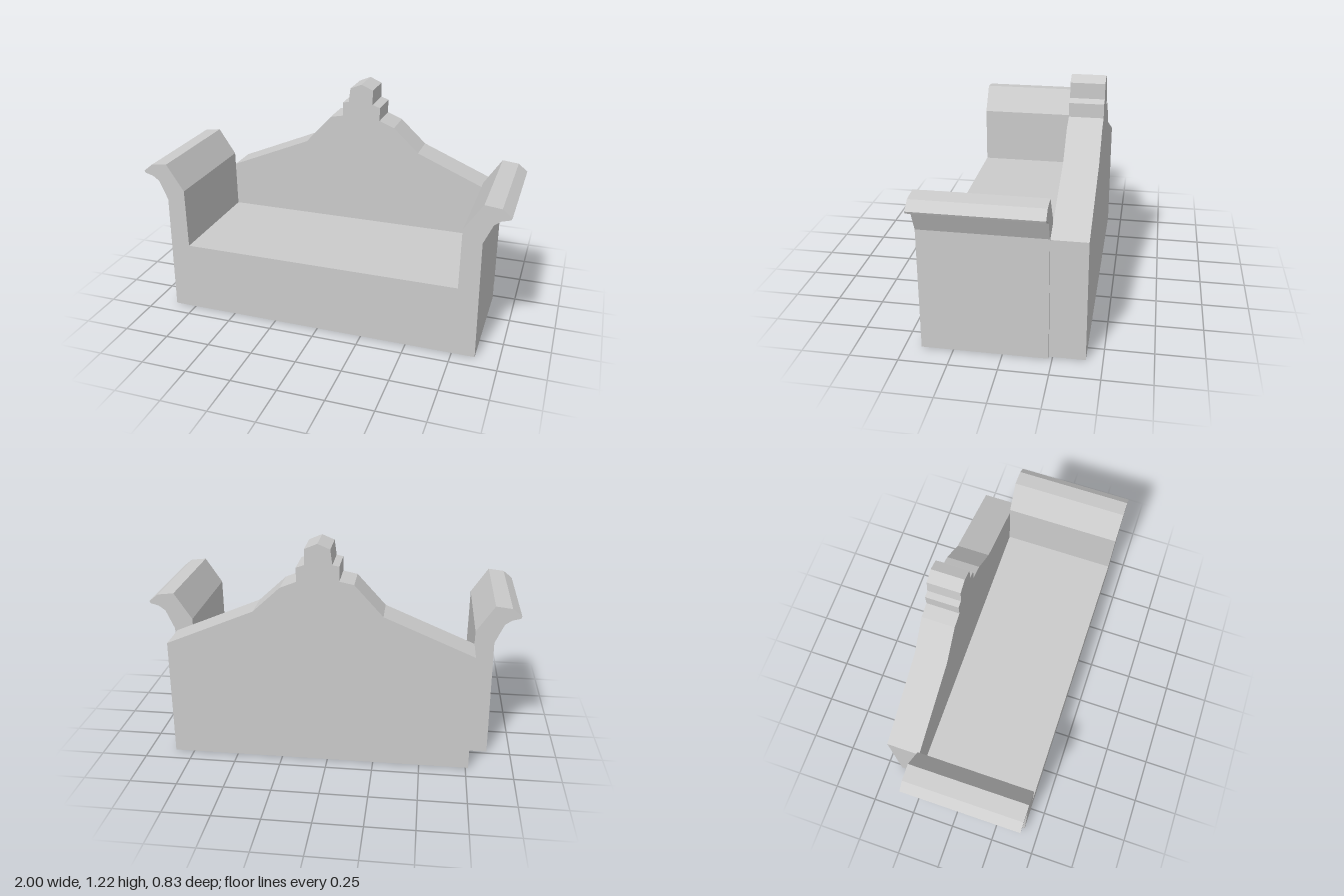
import * as THREE from 'three';

const material = new THREE.MeshStandardMaterial({ color: 0xcccccc, flatShading: true });

// Extrude a front-facing outline from z = back to z = front
function slab(name, points, back, front) {
  const shape = new THREE.Shape(points.map(([x, y]) => new THREE.Vector2(x, y)));
  const geometry = new THREE.ExtrudeGeometry(shape, { depth: front - back, bevelEnabled: false });
  geometry.translate(0, 0, back);
  const mesh = new THREE.Mesh(geometry, material);
  mesh.name = name;
  return mesh;
}

export function createModel() {
  const group = new THREE.Group();
  group.name = 'sofa';

  // Seat and scrolled arms share one outline: right half from base to seat, then mirrored
  const half = [
    [0.873, 0], [0.868, 0.66], [0.915, 0.765], [0.95, 0.79], [0.995, 0.803],
    [1, 0.815], [0.95, 0.855], [0.862, 0.865], [0.766, 0.72], [0.762, 0.39],
  ];
  const mirrored = half.map(([x, y]) => [-x, y]).reverse();
  group.add(slab('seatAndArms', [...half, ...mirrored], -0.232, 0.415));

  // Backrest with sloping shoulders and a stepped crest, slightly off centre
  group.add(slab('backrest', [
    [-0.765, 0], [0.855, 0], [0.855, 0.65], [0.385, 0.85], [0.24, 0.985],
    [0.155, 1.02], [0.155, 1.095], [0.112, 1.11], [0.112, 1.193], [0.045, 1.222],
    [-0.02, 1.195], [-0.03, 1.115], [-0.065, 1.108], [-0.065, 1.03],
    [-0.14, 1.015], [-0.29, 0.85], [-0.765, 0.65],
  ], -0.415, -0.232));

  return group;
}
